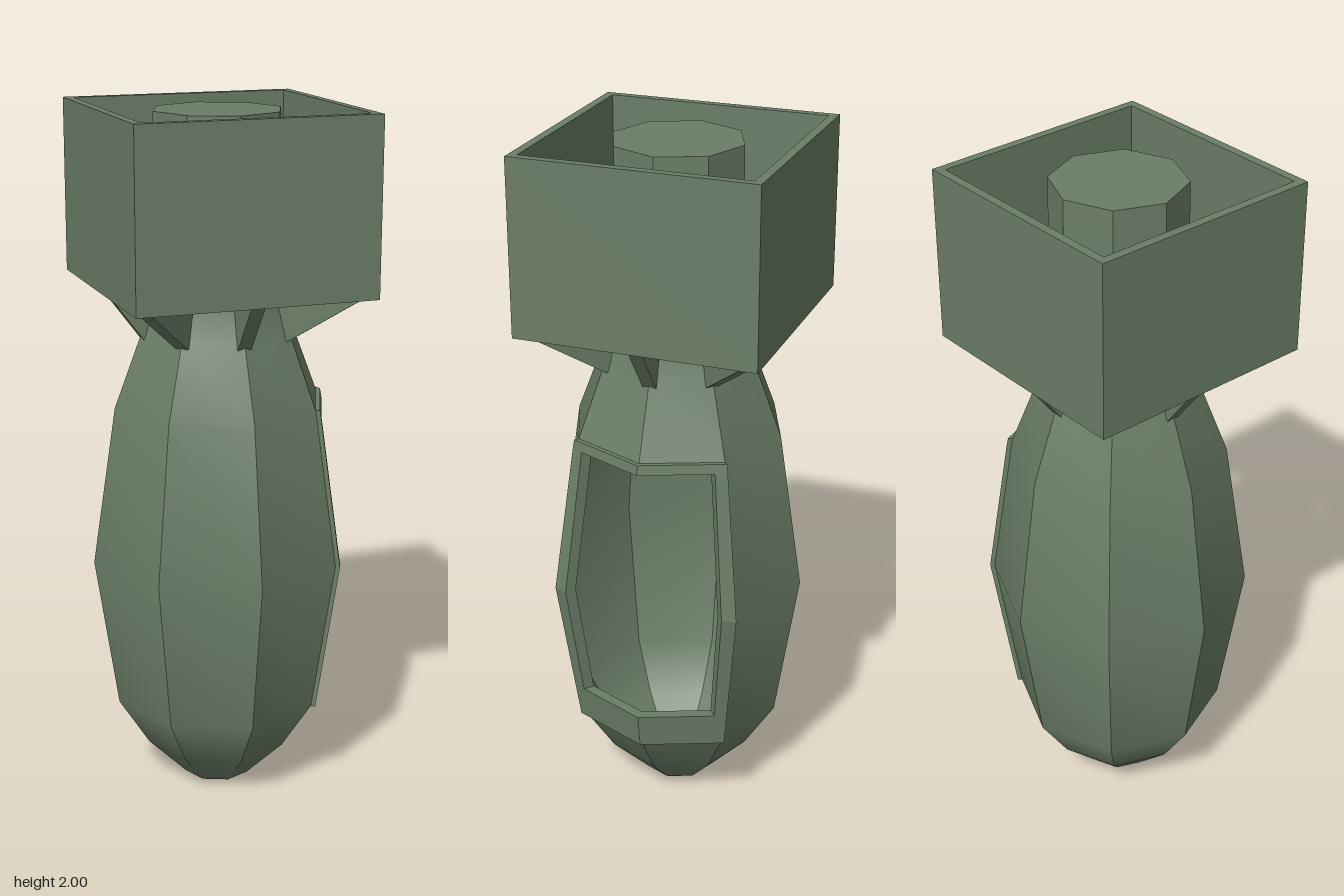
import * as THREE from 'three';

const material = new THREE.MeshStandardMaterial({ color: 0x6b7e68, side: THREE.DoubleSide });
const flatMaterial = material.clone();
flatMaterial.flatShading = true;

// Shell profile from nose to tail: [height, radius]
const PROFILE = [[0, 0.1], [0.115, 0.215], [0.26, 0.307], [0.71, 0.376],
  [1.165, 0.307], [1.37, 0.228], [1.52, 0.19], [1.99, 0.187]];
const SIDES = 8;
const STEP = (Math.PI * 2) / SIDES;

function radiusAt(y) {
  let i = 0;
  while (i < PROFILE.length - 2 && y > PROFILE[i + 1][0]) i++;
  const [y0, r0] = PROFILE[i], [y1, r1] = PROFILE[i + 1];
  return r0 + ((r1 - r0) * (y - y0)) / (y1 - y0);
}

function addMesh(parent, name, geometry, mat = material) {
  const mesh = new THREE.Mesh(geometry, mat);
  mesh.name = name;
  parent.add(mesh);
  return mesh;
}

function indexed(positions, index) {
  const g = new THREE.BufferGeometry();
  g.setAttribute('position', new THREE.Float32BufferAttribute(positions, 3));
  g.setIndex(index);
  g.computeVertexNormals();
  return g;
}

// One long facet of the shell, smooth along its length
function shellSide(k, hasOpening) {
  const positions = [], index = [];
  PROFILE.forEach(([y, r], i) => {
    for (const a of [k * STEP, (k + 1) * STEP]) positions.push(r * Math.cos(a), y, r * Math.sin(a));
    if (i === PROFILE.length - 1 || (hasOpening && (i === 2 || i === 3))) return;
    const n = i * 2;
    index.push(n, n + 2, n + 3, n, n + 3, n + 1);
  });
  return indexed(positions, index);
}

// Raised frame around the side opening, made of thick cells on both facets
function frameGeometry() {
  const across = [1, 0.86, 0];
  const heights = [0.26, 0.365, 0.71, 1.14, 1.168];
  const positions = [], index = [];
  const faces = [[0, 1, 3, 2], [4, 6, 7, 5], [0, 4, 5, 1], [2, 3, 7, 6], [0, 2, 6, 4], [1, 5, 7, 3]];
  for (const side of [1, -1]) {
    for (let i = 0; i < 2; i++) {
      for (let j = 0; j < 4; j++) {
        if (i === 1 && (j === 1 || j === 2)) continue; // the opening
        const base = positions.length / 3;
        for (const offset of [-0.02, 0.014]) {
          for (const t of [across[i], across[i + 1]]) {
            for (const y of [heights[j], heights[j + 1]]) {
              const r = radiusAt(y) + offset;
              positions.push(r * (1 - t * (1 - Math.SQRT1_2)), y, side * t * r * Math.SQRT1_2);
            }
          }
        }
        for (const f of faces) {
          const [a, b, c, d] = (side > 0 ? f : [...f].reverse()).map((n) => n + base);
          index.push(a, b, c, a, c, d);
        }
      }
    }
  }
  return indexed(positions, index).toNonIndexed();
}

// Upright plate running from the neck out to the tail box
function finGeometry(reach) {
  const shape = new THREE.Shape([[0.175, 1.36], [0.225, 1.36], [reach, 1.5], [reach, 1.7], [0.175, 1.7]]
    .map(([x, y]) => new THREE.Vector2(x, y)));
  return new THREE.ExtrudeGeometry(shape, { depth: 0.04, bevelEnabled: false }).translate(0, 0, -0.02);
}

// Square tube, open at both ends
function tailBoxGeometry(half, wall, height) {
  const square = (h) => [[-h, -h], [h, -h], [h, h], [-h, h]].map(([x, y]) => new THREE.Vector2(x, y));
  const shape = new THREE.Shape(square(half));
  shape.holes.push(new THREE.Path(square(half - wall).reverse()));
  return new THREE.ExtrudeGeometry(shape, { depth: height, bevelEnabled: false }).rotateX(-Math.PI / 2);
}

export function createModel() {
  const model = new THREE.Group();
  model.name = 'finnedShell';
  const parts = new THREE.Group();
  parts.name = 'parts';
  parts.position.x = 0.014;
  model.add(parts);

  // Hollow eight-sided body, open on its left side
  const body = new THREE.Group();
  body.name = 'body';
  parts.add(body);
  for (let k = 0; k < SIDES; k++) addMesh(body, 'bodySide', shellSide(k, k === 0 || k === SIDES - 1));
  addMesh(body, 'noseCap', new THREE.CircleGeometry(PROFILE[0][1], SIDES).rotateX(Math.PI / 2));
  const [tailY, tailR] = PROFILE[PROFILE.length - 1];
  addMesh(body, 'tailCap', new THREE.CircleGeometry(tailR, SIDES).rotateX(-Math.PI / 2).translate(0, tailY, 0));

  addMesh(parts, 'openingFrame', frameGeometry(), flatMaterial).geometry.computeVertexNormals();

  // Tail fins: short to the walls, long to the corners
  const fins = new THREE.Group();
  fins.name = 'tailFins';
  parts.add(fins);
  for (let k = 0; k < SIDES; k++) {
    addMesh(fins, 'tailFin', finGeometry(k % 2 ? 0.445 : 0.33)).rotation.y = k * STEP;
  }

  addMesh(parts, 'tailBox', tailBoxGeometry(0.346, 0.025, 0.5)).position.y = 1.5;
  return model;
}
